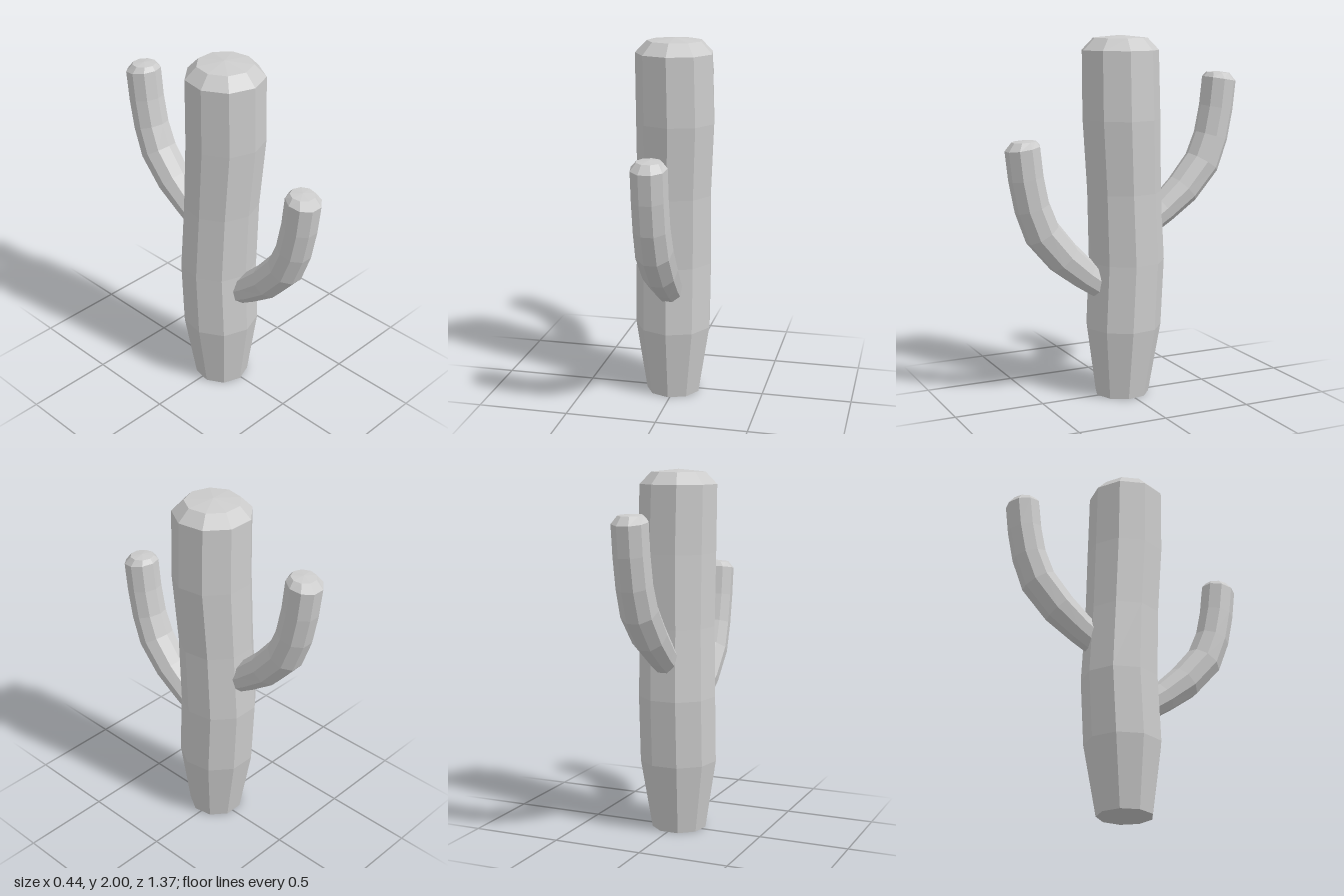
import * as THREE from 'three';

const SIDES = 9;

// Skin a list of rings [x, y, z, radius, tilt toward +z in degrees] with closed ends
function ribbedStem(rings, phase, tip) {
  const pos = [];
  const loops = rings.map(([x, y, z, r, tilt = 0]) => {
    const t = THREE.MathUtils.degToRad(tilt);
    return Array.from({ length: SIDES }, (_, i) => {
      const a = phase + (i / SIDES) * Math.PI * 2;
      const n = r * Math.cos(a);
      return [x + r * Math.sin(a), y - n * Math.sin(t), z + n * Math.cos(t)];
    });
  });
  const tri = (a, b, c) => pos.push(...a, ...b, ...c);
  const last = loops[loops.length - 1];
  const base = rings[0].slice(0, 3);
  for (let i = 0; i < SIDES; i++) {
    const j = (i + 1) % SIDES;
    for (let k = 0; k < loops.length - 1; k++) {
      const lo = loops[k], hi = loops[k + 1];
      tri(lo[i], lo[j], hi[j]);
      tri(lo[i], hi[j], hi[i]);
    }
    tri(base, loops[0][j], loops[0][i]);
    tri(tip, last[i], last[j]);
  }
  const geo = new THREE.BufferGeometry();
  geo.setAttribute('position', new THREE.Float32BufferAttribute(pos, 3));
  geo.computeVertexNormals(); // unshared corners give flat facets
  return geo;
}

export function createModel() {
  const group = new THREE.Group();
  group.name = 'cactus';
  const skin = new THREE.MeshStandardMaterial({ color: 0xcccccc, flatShading: true });
  skin.name = 'cactusGrey';

  const add = (name, geo) => {
    const mesh = new THREE.Mesh(geo, skin);
    mesh.name = name;
    group.add(mesh);
    return mesh;
  };

  // Slightly wavering trunk with a bevelled top
  add('trunk', ribbedStem([
    [-0.01, 0, 0.015, 0.152],
    [-0.01, 0.39, 0.006, 0.213],
    [-0.01, 0.76, -0.012, 0.214],
    [-0.004, 1.15, 0.005, 0.208],
    [0.007, 1.55, 0.026, 0.217],
    [0, 1.92, 0.029, 0.213],
    [0, 1.985, 0.028, 0.15],
  ], 0, [0, 2, 0.025]));

  // One upward-curving arm, used on both sides of the trunk
  const arm = ribbedStem([
    [-0.005, 0.6, 0.1, 0.075, 57],
    [-0.005, 0.7, 0.24, 0.085, 53],
    [-0.005, 0.805, 0.365, 0.098, 45],
    [-0.005, 0.95, 0.487, 0.102, 32],
    [-0.005, 1.095, 0.543, 0.098, 17],
    [-0.005, 1.255, 0.575, 0.097, 10],
    [-0.005, 1.415, 0.593, 0.097, 9],
    [-0.005, 1.45, 0.585, 0.067, 3],
  ], Math.PI, [-0.005, 1.457, 0.585]);
  add('frontArm', arm);
  const back = add('backArm', arm);
  back.rotation.y = Math.PI;
  back.position.set(-0.01, 0.335, 0);

  return group;
}
